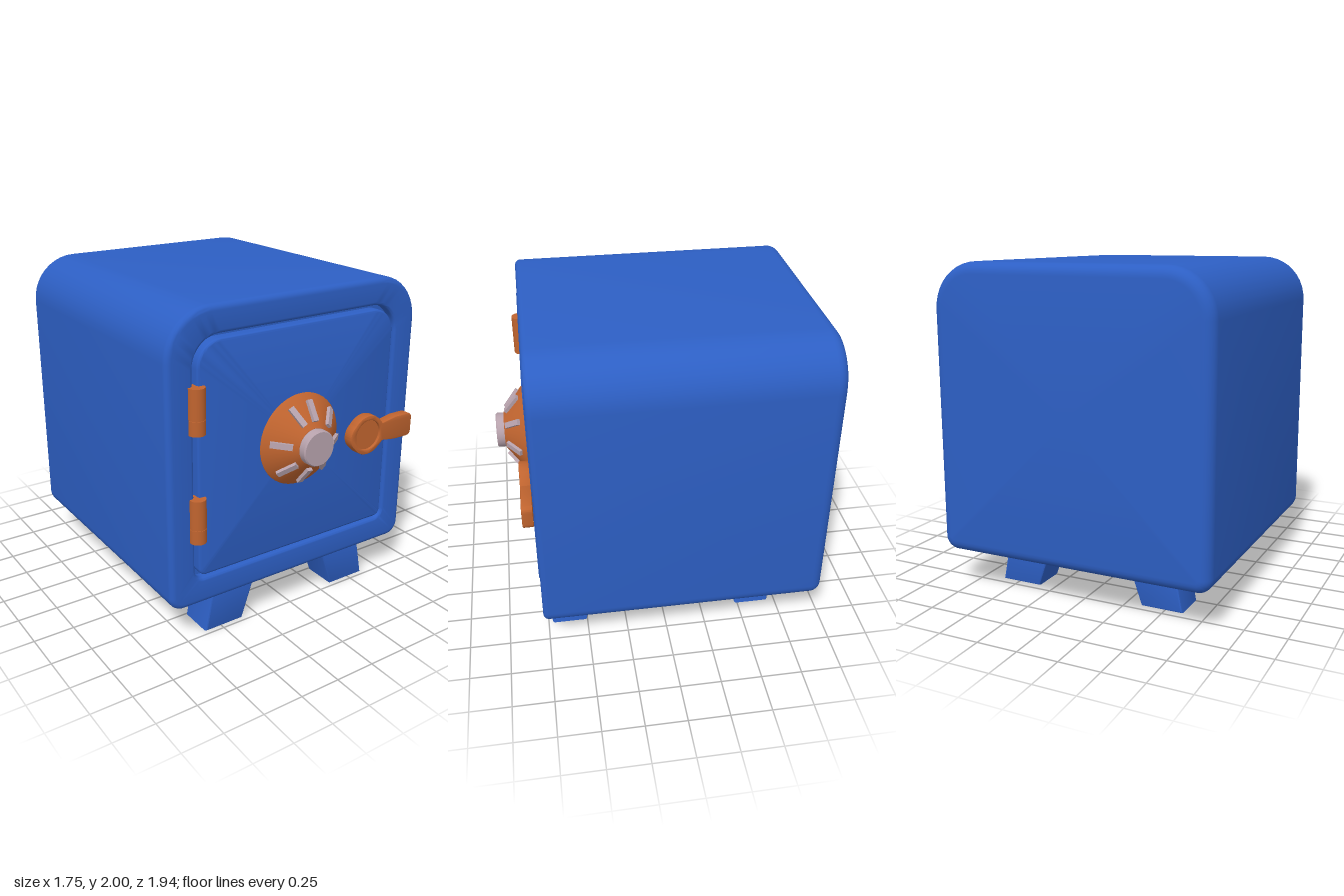
import * as THREE from 'three';
import { toCreasedNormals } from 'three/addons/utils/BufferGeometryUtils.js';

const blue = new THREE.MeshStandardMaterial({ color: 0x2d5fc4 });
const orange = new THREE.MeshStandardMaterial({ color: 0xc0642f });
const silver = new THREE.MeshStandardMaterial({ color: 0xb8a3ad });

const BODY = { w: 0.873, y0: 0.25, y1: 2.0, rt: 0.28, rb: 0.09 };
const OPENING = { w: 0.71, y0: 0.415, y1: 1.84, rt: 0.17, rb: 0.06 };
const DOOR = { w: 0.687, y0: 0.438, y1: 1.817, rt: 0.15, rb: 0.045 };

// Counter-clockwise rounded rectangle at depth z, shrunk by inset
function ring(rect, z, inset) {
  const seg = 10, pts = [];
  const w = rect.w - inset, y0 = rect.y0 + inset, y1 = rect.y1 - inset;
  const rt = Math.max(rect.rt - inset, 0.015), rb = Math.max(rect.rb - inset, 0.015);
  const corners = [[w - rb, y0 + rb, rb], [w - rt, y1 - rt, rt], [-w + rt, y1 - rt, rt], [-w + rb, y0 + rb, rb]];
  corners.forEach(([cx, cy, r], q) => {
    for (let i = 0; i <= seg; i++) {
      const a = (q - 1 + i / seg) * Math.PI / 2;
      pts.push([cx + r * Math.cos(a), cy + r * Math.sin(a), z]);
    }
  });
  return pts;
}

// Quarter-round edge as rings: t = 0 starts at the end face, t = 1 on the side wall
function roundedEdge(rect, zFace, r, dir, reverse) {
  const out = [];
  for (let i = 0; i <= 6; i++) {
    const a = i / 6 * Math.PI / 2;
    out.push(ring(rect, zFace + dir * r * (1 - Math.cos(a)), r * (1 - Math.sin(a))));
  }
  return reverse ? out.reverse() : out;
}

// Skin over successive rings, closed at both ends
function loft(rings) {
  const n = rings[0].length, pos = rings.flat(2), idx = [];
  for (let i = 0; i < rings.length - 1; i++) {
    for (let j = 0; j < n; j++) {
      const a = i * n + j, b = i * n + (j + 1) % n;
      idx.push(a, b, b + n, a, b + n, a + n);
    }
  }
  const c = rings.length * n, last = c - n;
  const y = (BODY.y0 + BODY.y1) / 2;
  pos.push(0, y, rings[0][0][2], 0, y, rings[rings.length - 1][0][2]);
  for (let j = 0; j < n; j++) {
    const k = (j + 1) % n;
    idx.push(c, k, j, c + 1, last + j, last + k);
  }
  const g = new THREE.BufferGeometry();
  g.setAttribute('position', new THREE.Float32BufferAttribute(pos, 3));
  g.setIndex(idx);
  return toCreasedNormals(g, 0.6);
}

function add(parent, name, geometry, material, x = 0, y = 0, z = 0) {
  const m = new THREE.Mesh(geometry, material);
  m.name = name;
  m.position.set(x, y, z);
  parent.add(m);
  return m;
}

// Bevelled plate that keeps the outline's size and starts at z = 0
function plate(shape, depth, b) {
  const g = new THREE.ExtrudeGeometry(shape, {
    depth: depth - 2 * b, bevelSize: b, bevelThickness: b, bevelOffset: -b, bevelSegments: 2, curveSegments: 24,
  });
  return toCreasedNormals(g.translate(0, 0, b), 0.6);
}

// Solid turned around the z axis
function turned(profile) {
  const g = new THREE.LatheGeometry(profile.map(p => new THREE.Vector2(...p)), 48);
  return toCreasedNormals(g.rotateX(Math.PI / 2), 0.5);
}

export function createModel() {
  const model = new THREE.Group();
  model.name = 'safe';

  // Body with rounded edges and a recess for the door
  add(model, 'body', loft([
    ...roundedEdge(BODY, -0.97, 0.07, 1, false),
    ...roundedEdge(BODY, 0.778, 0.035, -1, true),
    ...[0, 1, 2, 3, 4].map(i => {
      const a = i / 4 * Math.PI / 2;
      return ring(OPENING, 0.778 - 0.02 * (1 - Math.cos(a)), -0.02 * (1 - Math.sin(a)));
    }),
    ring(OPENING, 0.72, 0),
  ]), blue);

  add(model, 'door', loft([
    ring(DOOR, 0.71, 0),
    ...roundedEdge(DOOR, 0.786, 0.016, -1, true),
  ]), blue);

  // Four splayed legs
  for (const s of [-1, 1]) {
    const outline = [[0.559, 0.28], [0.612, 0.005], [0.35, 0.005], [0.255, 0.28]];
    const shape = new THREE.Shape(outline.map(([x, y]) => new THREE.Vector2(s * x, y)));
    for (const [name, z] of [['frontLeg', 0.5], ['backLeg', -0.705]]) {
      add(model, name, plate(shape, 0.225, 0.012), blue, 0, 0, z);
    }
  }

  // Two hinges, each with two knuckles
  for (const y of [0.67, 1.315]) {
    const hinge = new THREE.Group();
    hinge.name = 'hinge';
    hinge.position.set(-0.695, y, 0.785);
    add(hinge, 'lowerKnuckle', new THREE.CylinderGeometry(0.049, 0.049, 0.085, 20), orange, 0, 0.0425);
    add(hinge, 'upperKnuckle', new THREE.CylinderGeometry(0.049, 0.049, 0.178, 20), orange, 0, 0.176);
    model.add(hinge);
  }

  // Combination dial: cone, knob and raised tick marks
  const dial = new THREE.Group();
  dial.name = 'dial';
  dial.position.set(0, 1.13, 0.78);
  add(dial, 'dialCone', turned([[0, 0], [0.28, 0], [0.28, 0.008], [0.265, 0.025], [0.11, 0.145], [0, 0.145]]), orange);
  add(dial, 'dialKnob', turned([[0, 0.13], [0.108, 0.13], [0.108, 0.186], [0.101, 0.194], [0, 0.194]]), silver);
  for (const degrees of [84, 41, -6, -54, -96, -139, 172, 115]) {
    const pivot = new THREE.Group();
    pivot.name = 'dialTick';
    pivot.rotation.z = THREE.MathUtils.degToRad(degrees);
    add(pivot, 'tick', new THREE.BoxGeometry(0.13, 0.035, 0.035), silver, 0.192, 0, 0.085).rotation.y = Math.atan2(0.12, 0.155);
    dial.add(pivot);
  }
  model.add(dial);

  // Lever handle: round hub with a sunken disc and a short flared arm
  const lever = new THREE.Shape();
  lever.moveTo(0.115, 0.055);
  lever.quadraticCurveTo(0.09, 0.09, 0.055, 0.112);
  lever.absarc(0, 0, 0.125, 1.11, 2.5, false);
  lever.quadraticCurveTo(-0.138, 0.045, -0.138, 0);
  lever.quadraticCurveTo(-0.138, -0.045, -0.1, -0.075);
  lever.absarc(0, 0, 0.125, 3.78, 5.17, false);
  lever.quadraticCurveTo(0.09, -0.09, 0.12, -0.06);
  lever.lineTo(0.225, -0.075);
  lever.lineTo(0.325, -0.075);
  lever.quadraticCurveTo(0.356, -0.07, 0.356, -0.04);
  lever.lineTo(0.356, 0.04);
  lever.quadraticCurveTo(0.356, 0.07, 0.325, 0.075);
  lever.lineTo(0.225, 0.075);
  lever.closePath();
  lever.holes.push(new THREE.Path().absarc(0, 0, 0.095, 0, Math.PI * 2, true));
  const handle = new THREE.Group();
  handle.name = 'handle';
  handle.position.set(0.488, 1.06, 0.784);
  add(handle, 'lever', plate(lever, 0.064, 0.006), orange);
  add(handle, 'hubDisc', turned([[0, 0], [0.1, 0], [0.1, 0.048], [0, 0.048]]), orange);
  model.add(handle);

  return model;
}
